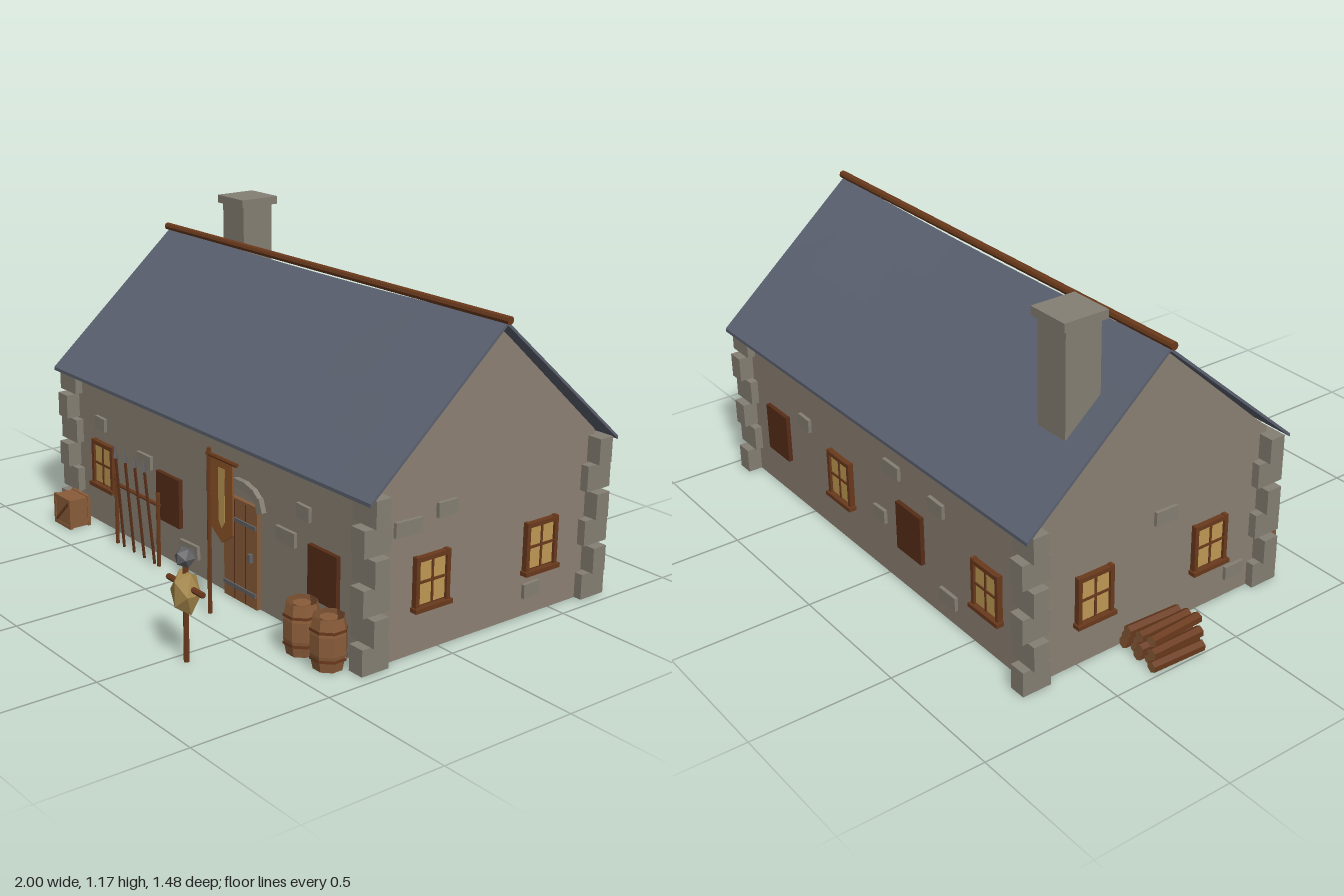
import * as THREE from 'three';

const mat = (name, color, extra = {}) => Object.assign(new THREE.MeshStandardMaterial({ color, flatShading: true, ...extra }), { name });
const two = { side: THREE.DoubleSide };
const M = {
  wall: mat('plaster', 0x8c8173, two),
  stone: mat('stone', 0x857f73),
  slate: mat('slate', 0x5b6170),
  timber: mat('timber', 0x6a3a1c),
  shutter: mat('dark timber', 0x572d18),
  wood: mat('wood', 0x8a5c39, two),
  glow: mat('window glow', 0xc09a54),
  iron: mat('iron', 0x626266),
  straw: mat('straw', 0xa98a4c),
  cloth: mat('banner cloth', 0x8c5428),
};

// House layout: centre, half sizes and heights
const CX = 0.065, CZ = -0.197, HX = 0.865, HZ = 0.483, EAVE = 0.59, PEAK = 1.03;

function add(parent, name, geo, material, x = 0, y = 0, z = 0) {
  const m = new THREE.Mesh(geo, material);
  m.name = name;
  m.position.set(x, y, z);
  parent.add(m);
  return m;
}
const box = (p, name, m, w, h, d, x, y, z) => add(p, name, new THREE.BoxGeometry(w, h, d), m, x, y, z);

function group(parent, name, x = 0, y = 0, z = 0, ry = 0) {
  const g = new THREE.Group();
  g.name = name;
  g.position.set(x, y, z);
  g.rotation.y = ry;
  parent.add(g);
  return g;
}

// Round bar between two points
function bar(parent, name, m, a, b, r0, r1 = r0, sides = 6) {
  const A = new THREE.Vector3(...a), d = new THREE.Vector3(...b).sub(A);
  const mesh = add(parent, name, new THREE.CylinderGeometry(r1, r0, d.length(), sides), m);
  mesh.position.copy(A).addScaledVector(d, 0.5);
  mesh.quaternion.setFromUnitVectors(new THREE.Vector3(0, 1, 0), d.normalize());
  return mesh;
}

function windowFrame(wall, x) {
  const g = group(wall, 'window', x, 0.242, 0);
  box(g, 'windowBack', M.shutter, 0.136, 0.17, 0.016, 0, 0, 0);
  for (const sx of [-1, 1]) {
    box(g, 'windowJamb', M.timber, 0.015, 0.18, 0.03, sx * 0.064, 0, 0.005);
    for (const sy of [-1, 1]) box(g, 'pane', M.glow, 0.05, 0.07, 0.005, sx * 0.029, sy * 0.04 + 0.002, 0.01);
  }
  box(g, 'windowHead', M.timber, 0.142, 0.015, 0.03, 0, 0.08, 0.005);
  box(g, 'windowSill', M.timber, 0.156, 0.015, 0.042, 0, -0.086, 0.008);
  box(g, 'mullion', M.timber, 0.008, 0.15, 0.018, 0, 0, 0.007);
  box(g, 'transom', M.timber, 0.115, 0.008, 0.018, 0, 0.002, 0.007);
}

function shutter(wall, x) {
  box(wall, 'shutter', M.shutter, 0.144, 0.18, 0.026, x, 0.237, 0.003);
}

function door(wall, x) {
  const g = group(wall, 'door', x);
  box(g, 'doorPanel', M.wood, 0.185, 0.365, 0.03, 0, 0.1825, 0);
  for (const px of [-0.031, 0.031]) box(g, 'plankGap', M.shutter, 0.003, 0.355, 0.004, px, 0.18, 0.015);
  for (const y of [0.05, 0.29]) box(g, 'hinge', M.iron, 0.18, 0.014, 0.008, 0, y, 0.017);
  box(g, 'handle', M.iron, 0.014, 0.03, 0.02, 0.065, 0.18, 0.02);
  // Arch of wedge stones
  for (let i = 0; i < 7; i++) {
    const a = Math.PI * (i + 0.5) / 7;
    const s = box(g, 'archStone', M.stone, 0.03, 0.05, 0.03, Math.cos(a) * 0.105, 0.36 + Math.sin(a) * 0.06, 0.004);
    s.rotation.z = Math.atan2(Math.sin(a) * 1.6, Math.cos(a));
  }
}

function wallStones(wall, list) {
  list.forEach(([x, y, w], i) => {
    box(wall, 'wallStone', M.stone, w, 0.05, 0.02, x, y, 0.003).rotation.z = (i % 3 - 1) * 0.03;
  });
}

function buildWalls(root) {
  const front = group(root, 'frontWall', CX, 0, CZ + HZ);
  const back = group(root, 'backWall', CX, 0, CZ - HZ, Math.PI);
  const left = group(root, 'leftGable', CX + HX, 0, CZ, Math.PI / 2);
  const right = group(root, 'rightGable', CX - HX, 0, CZ, -Math.PI / 2);
  const gable = new THREE.Shape([[-HZ, 0], [HZ, 0], [HZ, EAVE], [0, PEAK], [-HZ, EAVE]].map(p => new THREE.Vector2(...p)));
  for (const w of [front, back]) add(w, 'wallFace', new THREE.PlaneGeometry(2 * HX, EAVE), M.wall, 0, EAVE / 2, 0);
  for (const w of [left, right]) {
    add(w, 'gableFace', new THREE.ShapeGeometry(gable), M.wall);
    for (const s of [-1, 1]) windowFrame(w, s * 0.241);
  }
  const bay = [-0.65, -0.217, 0.217, 0.65];
  windowFrame(front, bay[0]);
  shutter(front, bay[1]);
  door(front, bay[2]);
  shutter(front, bay[3]);
  bay.forEach((x, i) => (i % 2 ? windowFrame : shutter)(back, x));
  wallStones(front, [[-0.67, 0.4, 0.065], [-0.375, 0.337, 0.09], [-0.095, 0.085, 0.11], [0.545, 0.42, 0.065], [0.455, 0.31, 0.1]]);
  wallStones(back, [[-0.455, 0.36, 0.07], [0.115, 0.43, 0.09], [0.03, 0.22, 0.07], [0.375, 0.41, 0.08], [0.43, 0.09, 0.09]]);
  wallStones(left, [[-0.34, 0.437, 0.11], [-0.18, 0.465, 0.08], [0.208, 0.09, 0.07]]);
  wallStones(right, [[0.05, 0.42, 0.09], [0.36, 0.09, 0.08]]);

  // Corner blocks alternate their long side
  for (const sx of [-1, 1]) for (const sz of [-1, 1]) for (let i = 0; i < 6; i++) {
    const odd = i % 2;
    box(root, 'cornerStone', M.stone, odd ? 0.11 : 0.062, 0.09, odd ? 0.058 : 0.108, CX + sx * HX, 0.046 + i * 0.0965, CZ + sz * HZ);
  }
}

function buildRoof(root) {
  // Each slope sags a little in the middle of the ridge
  for (const ry of [0, Math.PI]) {
    const geo = new THREE.BoxGeometry(1.84, 0.012, 1, 10, 1, 4), p = geo.attributes.position;
    for (let i = 0; i < p.count; i++) {
      const t = p.getZ(i) + 0.5, u = p.getX(i) / 0.92;
      p.setY(i, p.getY(i) + 1.035 - 0.47 * t - 0.014 * (1 - u * u) * (1 - t));
      p.setZ(i, 0.537 * t);
    }
    geo.computeVertexNormals();
    add(root, 'roofSlope', geo, M.slate, CX, 0, CZ).rotation.y = ry;
  }
  bar(root, 'ridgeBeam', M.timber, [-0.865, 1.048, CZ + 0.005], [1, 1.048, CZ + 0.005], 0.014, 0.014, 8);
  box(root, 'chimneyShaft', M.stone, 0.134, 0.41, 0.134, -0.668, 0.945, -0.432);
  box(root, 'chimneyCap', M.stone, 0.16, 0.03, 0.165, -0.668, 1.155, -0.432);
}

function buildCrate(root) {
  const g = group(root, 'crate', -0.687, 0.0575, 0.38);
  box(g, 'crateBody', M.wood, 0.11, 0.11, 0.085, 0, 0, 0);
  for (const s of [-1, 1]) {
    for (const t of [-1, 1]) {
      box(g, 'crateUpright', M.wood, 0.012, 0.115, 0.012, s * 0.052, 0, t * 0.039);
      box(g, 'crateRail', M.wood, 0.115, 0.012, 0.012, 0, s * 0.052, t * 0.039);
    }
    box(g, 'crateBrace', M.timber, 0.125, 0.01, 0.004, 0, 0, s * 0.043).rotation.z = 0.76;
  }
}

function buildBarrel(root, x) {
  const g = group(root, 'barrel', x, 0, 0.372, Math.PI / 8);
  const profile = [[0.05, 0], [0.061, 0.055], [0.061, 0.12], [0.052, 0.175]].map(p => new THREE.Vector2(...p));
  add(g, 'barrelStaves', new THREE.LatheGeometry(profile, 8), M.wood);
  for (const y of [0.04, 0.135]) add(g, 'barrelHoop', new THREE.CylinderGeometry(0.0625, 0.0625, 0.01, 8, 1, true), M.timber, 0, y, 0);
  add(g, 'barrelLid', new THREE.CylinderGeometry(0.03, 0.03, 0.006, 8), M.wood, 0, 0.165, 0);
}

function buildSpearRack(root) {
  const g = group(root, 'spearRack');
  for (const x of [-0.415, -0.14]) bar(g, 'rackPost', M.timber, [x, 0, 0.35], [x, 0.275, 0.35], 0.008);
  bar(g, 'rackRail', M.timber, [-0.42, 0.232, 0.35], [-0.13, 0.232, 0.35], 0.007);
  for (let i = 0; i < 4; i++) {
    const b = -0.37 + i * 0.067, t = -0.39 + i * 0.063;
    bar(g, 'spearShaft', M.shutter, [b, 0, 0.35], [t, 0.345, 0.365], 0.006);
    bar(g, 'spearHead', M.iron, [t, 0.34, 0.365], [t - 0.002, 0.39, 0.367], 0.009, 0.001, 4);
  }
}

function buildBanner(root) {
  const g = group(root, 'banner', 0, 0, 0.435);
  bar(g, 'bannerPole', M.timber, [0.295, 0, 0], [0.295, 0.58, 0], 0.008);
  bar(g, 'bannerArm', M.timber, [0.285, 0.56, 0], [0.45, 0.56, 0], 0.007);
  // Pointed hanging cloth with a stripe on both faces
  const pennant = (w, top, side, tip, d) => new THREE.ExtrudeGeometry(
    new THREE.Shape([[-w, side], [0, tip], [w, side], [w, top], [-w, top]].map(p => new THREE.Vector2(...p))), { depth: d, bevelEnabled: false });
  add(g, 'bannerCloth', pennant(0.058, 0.556, 0.315, 0.275, 0.006), M.cloth, 0.37, 0, -0.003);
  add(g, 'bannerStripe', pennant(0.017, 0.53, 0.35, 0.325, 0.009), M.glow, 0.37, 0, -0.0045);
}

function buildDummy(root) {
  const g = group(root, 'trainingDummy', 0.547, 0, 0.702);
  bar(g, 'dummyPost', M.timber, [0, 0, 0], [0, 0.33, 0], 0.01);
  bar(g, 'dummyArms', M.timber, [-0.095, 0.255, 0], [0.095, 0.255, 0], 0.01);
  add(g, 'dummyBody', new THREE.IcosahedronGeometry(1, 0), M.straw, 0, 0.235, 0).scale.set(0.056, 0.08, 0.048);
  add(g, 'dummyHead', new THREE.IcosahedronGeometry(0.035, 0), M.iron, 0, 0.35, 0);
}

function buildWoodpile(root) {
  const g = group(root, 'woodpile');
  [5, 4, 3].forEach((n, row) => {
    for (let i = 0; i < n; i++) {
      const x = -0.902 + (i - (n - 1) / 2) * 0.039, y = 0.02 + row * 0.035, k = ((i * 3 + row * 2) % 5 - 2) * 0.006;
      const log = bar(g, 'log', [M.timber, M.wood, M.wood], [x - k / 2, y, -0.33 + k], [x + k / 2, y, -0.125 + k], 0.02);
      log.rotation.z += k;
    }
  });
}

export function createModel() {
  const root = new THREE.Group();
  root.name = 'cottage';
  buildWalls(root);
  buildRoof(root);
  buildCrate(root);
  for (const x of [0.705, 0.838]) buildBarrel(root, x);
  buildSpearRack(root);
  buildBanner(root);
  buildDummy(root);
  buildWoodpile(root);
  return root;
}
